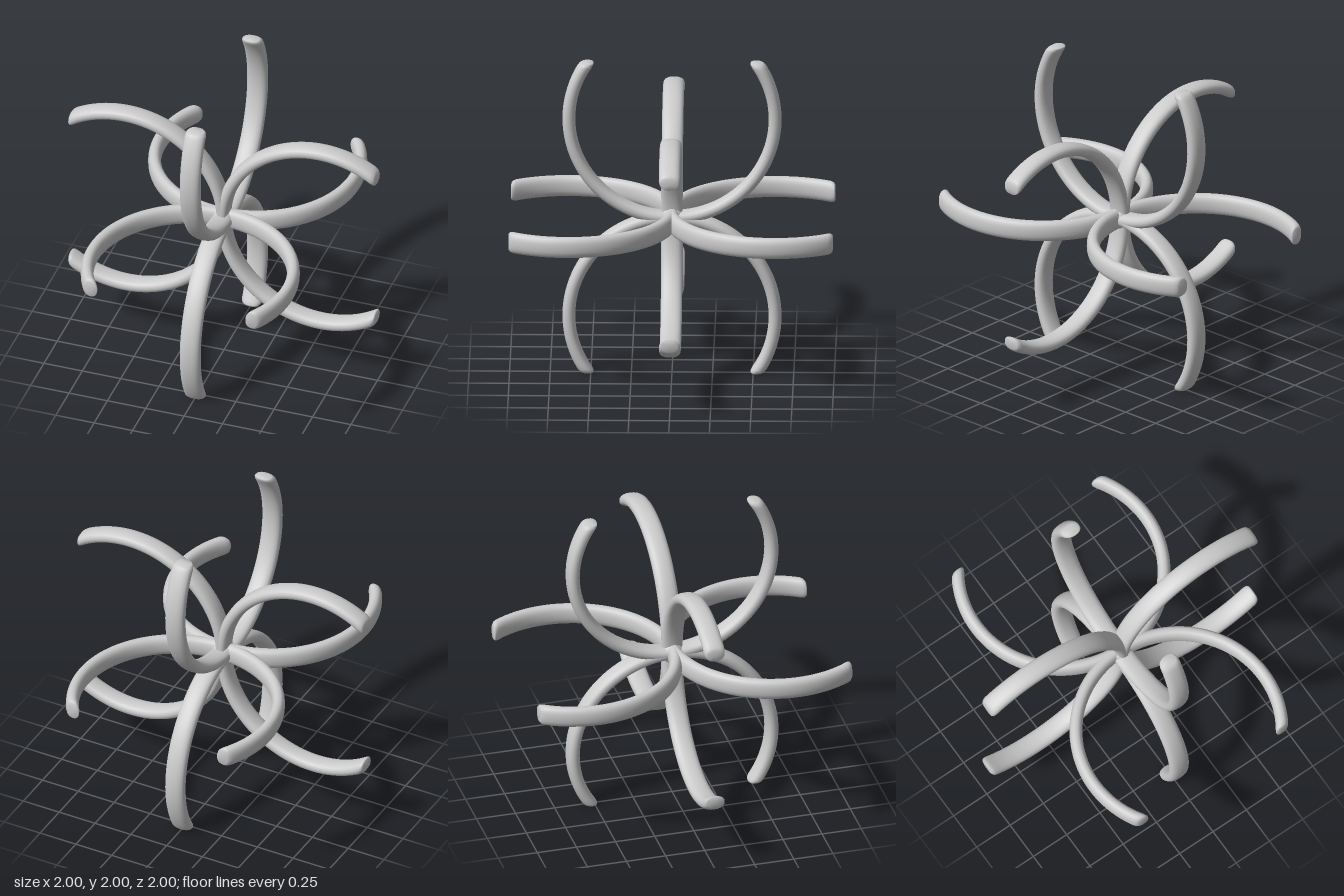
import * as THREE from 'three';

const R = 0.635;        // radius of each arm's arc
const HALF_T = 0.04;    // half thickness in the plane of the arc
const HALF_W = 0.066;   // half width across the plane
const SIDES = 20, STEPS = 36;

// One curled arm: leaves the origin along +y, bends towards +x, cut off flat at x = 1
function armGeometry() {
  const pos = [], index = [];
  const soft = (v) => Math.sign(v) * Math.abs(v) ** 0.85;
  const addRing = (t, limit, scale) => {
    for (let j = 0; j < SIDES; j++) {
      const phi = (j / SIDES) * Math.PI * 2;
      const p = R + HALF_T * scale * soft(Math.cos(phi));
      const a = t * Math.acos((R - limit) / p); // each side stops at the cutting plane
      pos.push(R - p * Math.cos(a), p * Math.sin(a), HALF_W * scale * soft(Math.sin(phi)));
    }
  };
  for (let i = 0; i <= STEPS; i++) addRing(i / STEPS, 0.97, 1);
  // rounded tip
  addRing(1, 0.988, 0.93);
  addRing(1, 0.998, 0.75);
  const rings = STEPS + 3;
  const id = (i, j) => i * SIDES + (j % SIDES);
  for (let i = 0; i < rings - 1; i++) {
    for (let j = 0; j < SIDES; j++) {
      index.push(id(i, j), id(i, j + 1), id(i + 1, j));
      index.push(id(i, j + 1), id(i + 1, j + 1), id(i + 1, j));
    }
  }
  // flat end of the tip
  const end = Math.acos((R - 1) / R);
  pos.push(1, R * Math.sin(end), 0);
  for (let j = 0; j < SIDES; j++) index.push(id(rings - 1, j), id(rings - 1, j + 1), rings * SIDES);

  const geo = new THREE.BufferGeometry();
  geo.setAttribute('position', new THREE.Float32BufferAttribute(pos, 3));
  geo.setIndex(index);
  geo.computeVertexNormals();
  return geo;
}

export function createModel() {
  const model = new THREE.Group();
  model.name = 'curledArmStar';
  const material = new THREE.MeshStandardMaterial({ color: 0xcccccc });
  const geo = armGeometry();
  const diagonal = new THREE.Vector3(1, 1, 1).normalize();

  // Three perpendicular sets of four arms, turned about the cube diagonal
  ['frontPlaneArms', 'sidePlaneArms', 'levelPlaneArms'].forEach((name, k) => {
    const set = new THREE.Group();
    set.name = name;
    // half turns about each axis give the other three quadrants
    [[0, 0, 0], [Math.PI, 0, 0], [0, Math.PI, 0], [0, 0, Math.PI]].forEach((turn, i) => {
      const arm = new THREE.Mesh(geo, material);
      arm.name = `arm${i + 1}`;
      arm.rotation.set(...turn);
      set.add(arm);
    });
    set.quaternion.setFromAxisAngle(diagonal, (k * Math.PI * 2) / 3);
    set.position.y = 1;
    model.add(set);
  });

  // Small core where the arms join
  const hub = new THREE.Mesh(new THREE.SphereGeometry(0.075, 24, 16), material);
  hub.name = 'hub';
  hub.position.y = 1;
  model.add(hub);
  return model;
}
